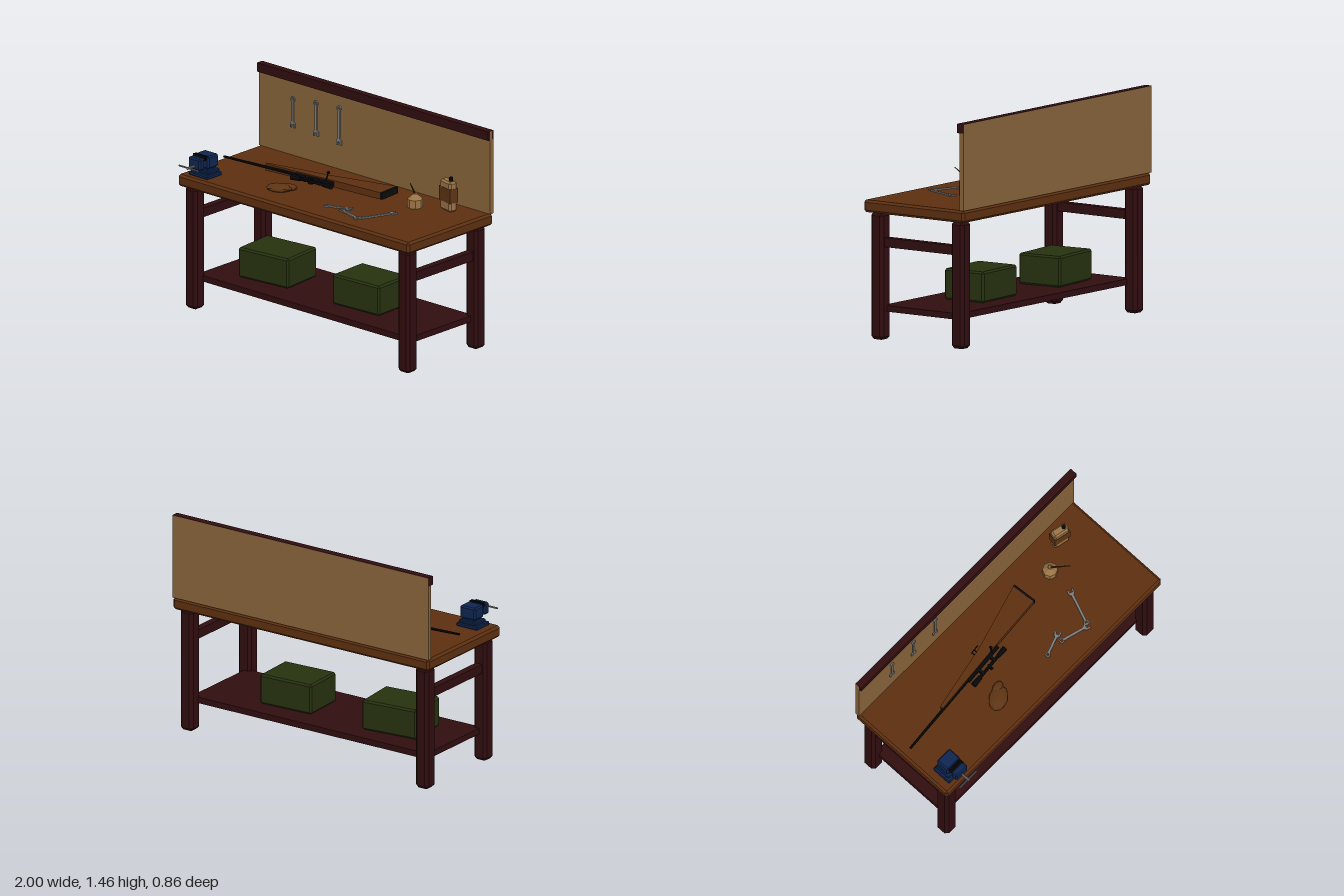
import * as THREE from 'three';
import { ConvexGeometry } from 'three/addons/geometries/ConvexGeometry.js';

const paint = (name, color) => {
  const m = new THREE.MeshStandardMaterial({ color });
  m.name = name;
  return m;
};

export function createModel() {
  const bench = new THREE.Group();
  bench.name = 'workbench';
  const wood = paint('oiled wood', 0x5d2f10);
  const frame = paint('dark red frame', 0x300d10);
  const tan = paint('tan board', 0x87633a);
  const green = paint('olive green', 0x26310f);
  const blue = paint('vise blue', 0x0f2650);
  const steel = paint('steel', 0x7c7e80);
  const black = paint('gun black', 0x0b0b0d);
  const leather = paint('brown leather', 0x5e3414);
  const can = paint('can tan', 0x9a7446);

  // Faceted mesh helper
  function add(parent, name, geo, mat, x = 0, y = 0, z = 0) {
    const flat = geo.index ? geo.toNonIndexed() : geo;
    flat.computeVertexNormals();
    const mesh = new THREE.Mesh(flat, mat);
    mesh.name = name;
    mesh.position.set(x, y, z);
    parent.add(mesh);
    return mesh;
  }
  function group(name, x, y, z) {
    const g = new THREE.Group();
    g.name = name;
    g.position.set(x, y, z);
    g.rotation.order = 'YXZ';
    bench.add(g);
    return g;
  }
  // Box with chamfered edges, c = chamfer
  function chamferBox(w, h, d, c) {
    const pts = [];
    const a = w / 2, b = h / 2, e = d / 2;
    for (const i of [-1, 1]) for (const j of [-1, 1]) for (const k of [-1, 1]) {
      pts.push(new THREE.Vector3(i * a, j * (b - c), k * (e - c)));
      pts.push(new THREE.Vector3(i * (a - c), j * b, k * (e - c)));
      pts.push(new THREE.Vector3(i * (a - c), j * (b - c), k * e));
    }
    return new ConvexGeometry(pts);
  }
  const box = (w, h, d) => new THREE.BoxGeometry(w, h, d);
  // Round bar between two points
  function rod(parent, name, mat, p, q, r1, r2 = r1, sides = 8) {
    const a = new THREE.Vector3(...p), b = new THREE.Vector3(...q);
    const dir = b.clone().sub(a);
    const mesh = add(parent, name, new THREE.CylinderGeometry(r2, r1, dir.length(), sides), mat);
    mesh.position.copy(a).add(b).multiplyScalar(0.5);
    mesh.quaternion.setFromUnitVectors(new THREE.Vector3(0, 1, 0), dir.normalize());
    return mesh;
  }

  // Bench structure
  add(bench, 'tabletop', chamferBox(2, 0.08, 0.8, 0.015), wood, 0, 0.86, -0.03);
  for (const x of [-0.92, 0.92]) {
    for (const z of [-0.35, 0.29]) add(bench, 'leg', chamferBox(0.1, 0.82, 0.1, 0.02), frame, x, 0.41, z);
    add(bench, 'sideRail', box(0.05, 0.06, 0.6), frame, x, 0.63, -0.03);
  }
  add(bench, 'shelf', box(1.84, 0.04, 0.6), frame, 0, 0.2, -0.03);
  add(bench, 'backBoard', box(2, 0.558, 0.03), tan, 0, 1.179, -0.415);
  add(bench, 'topTrim', box(2, 0.06, 0.049), frame, 0, 1.43, -0.4045);

  // Storage bins
  add(bench, 'bin', chamferBox(0.4, 0.2, 0.31, 0.012), green, -0.505, 0.32, -0.035).rotation.y = 0.1;
  add(bench, 'bin', chamferBox(0.39, 0.2, 0.3, 0.012), green, 0.295, 0.32, -0.04).rotation.y = 0.05;

  // Wrench: ring at the origin, open jaw at the far end along -y
  function wrench(length) {
    const ring = new THREE.Shape().absarc(0, 0, 0.018, 0, Math.PI * 2);
    ring.holes.push(new THREE.Path().absarc(0, 0, 0.009, 0, Math.PI * 2, true));
    const l = -length;
    const body = new THREE.Shape([
      [-0.008, -0.014], [-0.008, l + 0.042], [-0.021, l + 0.03], [-0.021, l], [-0.01, l], [-0.01, l + 0.022],
      [0.01, l + 0.022], [0.01, l], [0.021, l], [0.021, l + 0.03], [0.008, l + 0.042], [0.008, -0.014],
    ].map(([x, y]) => new THREE.Vector2(x, y)));
    return new THREE.ExtrudeGeometry([ring, body], { depth: 0.009, bevelEnabled: false, curveSegments: 6 });
  }
  [[-0.7, 1.28, 0.19], [-0.5, 1.3, 0.22], [-0.3, 1.312, 0.245]].forEach(([x, y, l]) =>
    add(bench, 'hangingWrench', wrench(l), steel, x, y, -0.395));
  [[0.13, 0.19, 0.29, 0.133], [0.26, 0.19, 0.455, 0.245], [0.455, 0.22, 0.545, -0.01]].forEach(([x, z, x2, z2]) => {
    const g = group('looseWrench', x, 0.9, z);
    g.rotation.set(-Math.PI / 2, Math.atan2(x2 - x, z2 - z), 0);
    add(g, 'wrench', wrench(Math.hypot(x2 - x, z2 - z)), steel);
  });

  // Bench vise
  const vise = group('vise', -0.857, 0.9, 0);
  add(vise, 'base', chamferBox(0.165, 0.025, 0.14, 0.006), blue, 0, 0.0125, 0.262);
  add(vise, 'swivel', chamferBox(0.135, 0.022, 0.115, 0.006), blue, 0, 0.035, 0.255);
  add(vise, 'neck', box(0.09, 0.025, 0.08), blue, 0, 0.055, 0.25);
  add(vise, 'rearJaw', chamferBox(0.12, 0.085, 0.1, 0.01), blue, 0, 0.1, 0.25);
  add(vise, 'frontJaw', chamferBox(0.105, 0.078, 0.05, 0.01), blue, 0, 0.1, 0.345);
  for (const z of [0.302, 0.318]) add(vise, 'jawPlate', box(0.1, 0.03, 0.008), black, 0, 0.134, z);
  rod(vise, 'screw', steel, [0, 0.085, 0.29], [0, 0.085, 0.43], 0.009);
  rod(vise, 'handle', steel, [-0.08, 0.085, 0.42], [0.08, 0.085, 0.42], 0.006);

  // Rifle lying on its side; local x runs to the butt, local y points to +z
  const rifle = group('rifle', -0.06, 0.937, -0.088);
  rifle.rotation.set(Math.PI / 2, 0.085, 0);
  const stockShape = new THREE.Shape([
    [-0.55, 0.008], [-0.55, -0.014], [-0.3, -0.042], [-0.1, -0.064], [0.375, -0.155], [0.375, 0.01], [0.02, 0.006],
  ].map(([x, y]) => new THREE.Vector2(x, y)));
  add(rifle, 'stock', new THREE.ExtrudeGeometry(stockShape, { depth: 0.045, bevelEnabled: false }), wood, 0, 0, -0.0225);
  add(rifle, 'buttPad', box(0.015, 0.167, 0.046), black, 0.382, -0.0725, 0);
  rod(rifle, 'barrel', black, [-0.885, 0.008, 0], [-0.28, 0.008, 0], 0.008, 0.012);
  rod(rifle, 'receiver', black, [-0.3, 0.012, 0], [0.0, 0.012, 0], 0.017);
  rod(rifle, 'scopeTube', black, [-0.29, 0.058, 0], [0.01, 0.058, 0], 0.011);
  rod(rifle, 'scopeObjective', black, [-0.3, 0.058, 0], [-0.23, 0.058, 0], 0.021, 0.016);
  rod(rifle, 'scopeEyepiece', black, [-0.05, 0.058, 0], [0.02, 0.058, 0], 0.014, 0.019);
  rod(rifle, 'scopeTurret', black, [-0.14, 0.058, -0.022], [-0.14, 0.058, 0.015], 0.011);
  rod(rifle, 'scopeKnob', black, [-0.14, 0.058, 0], [-0.14, 0.084, 0], 0.011);
  for (const x of [-0.2, -0.085]) add(rifle, 'scopeMount', box(0.018, 0.05, 0.024), black, x, 0.035, 0);
  rod(rifle, 'boltHandle', black, [-0.06, 0.015, -0.01], [-0.05, 0.0, -0.062], 0.005);
  add(rifle, 'boltKnob', new THREE.IcosahedronGeometry(0.011, 1), black, -0.05, 0, -0.065);
  add(rifle, 'triggerGuard', box(0.06, 0.004, 0.012), black, -0.105, -0.088, 0);
  for (const x of [-0.135, -0.112]) add(rifle, 'guardPost', box(0.004, 0.03, 0.012), black, x, -0.074, 0);

  // Folded leather pouch
  const pouch = add(bench, 'pouch', new THREE.IcosahedronGeometry(1, 1), leather, -0.305, 0.918, 0.165);
  pouch.scale.set(0.088, 0.026, 0.062);
  pouch.rotation.y = 0.5;
  const flap = add(bench, 'pouchFlap', new THREE.IcosahedronGeometry(1, 1), leather, -0.26, 0.92, 0.115);
  flap.scale.set(0.052, 0.022, 0.032);
  flap.rotation.y = 0.3;

  // Oil can with long spout
  const oiler = group('oilCan', 0.547, 0.9, -0.185);
  const profile = [[0, 0], [0.05, 0], [0.05, 0.055], [0.018, 0.085], [0.012, 0.1], [0, 0.1]];
  add(oiler, 'body', new THREE.LatheGeometry(profile.map(([x, y]) => new THREE.Vector2(x, y)), 8), can);
  rod(oiler, 'spout', leather, [0, 0.088, 0], [0.065, 0.202, 0.115], 0.007, 0.003, 6);

  // Solvent bottle with wrapped label
  const bottle = group('bottle', 0.745, 0.9, -0.285);
  bottle.rotation.y = -0.22;
  add(bottle, 'body', chamferBox(0.115, 0.202, 0.06, 0.012), can, 0, 0.101, 0);
  add(bottle, 'label', box(0.12, 0.095, 0.064), leather, 0, 0.108, 0);
  rod(bottle, 'cap', black, [0.03, 0.2, 0], [0.03, 0.228, 0], 0.013);

  return bench;
}
